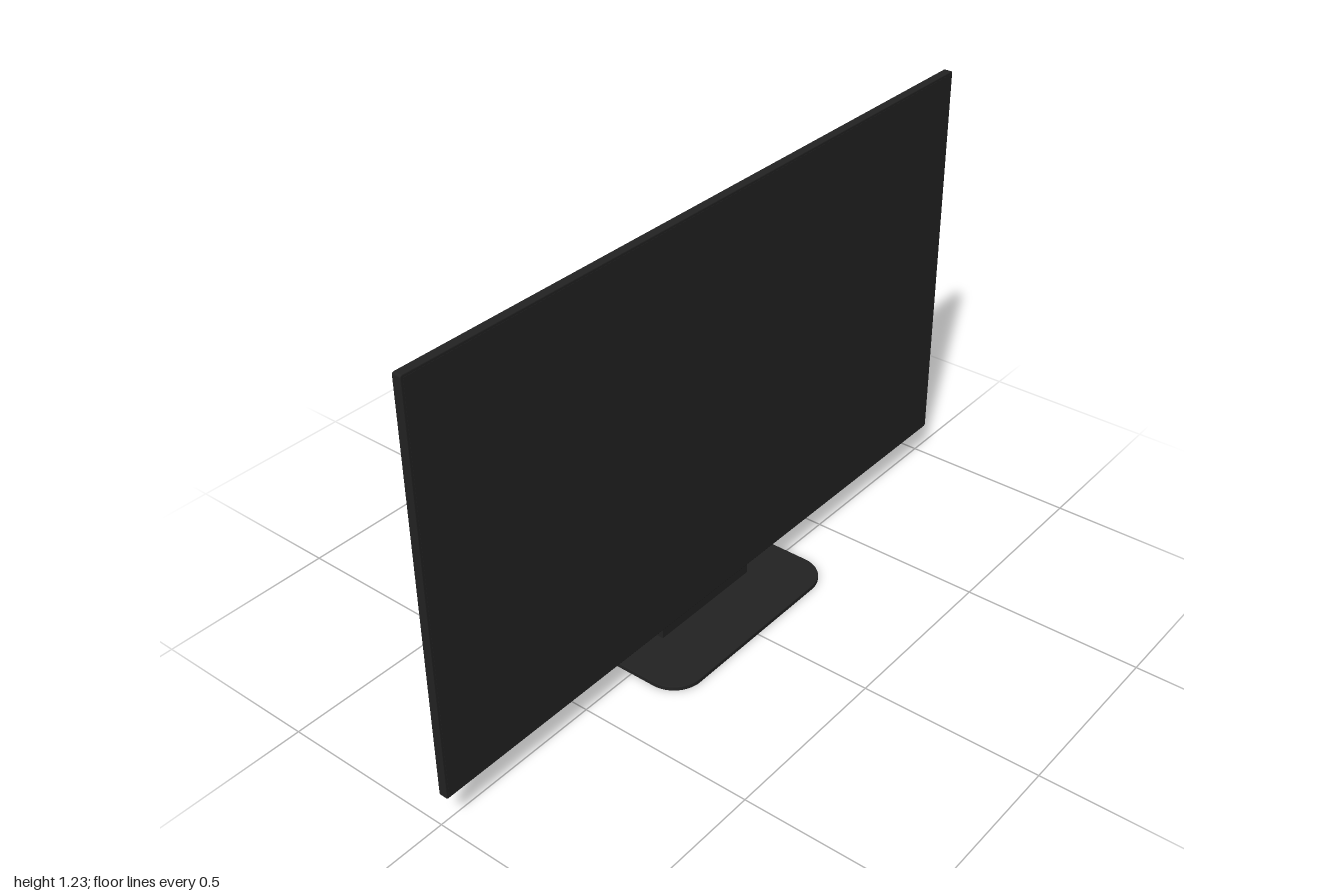
import * as THREE from 'three';

const black = new THREE.MeshStandardMaterial({ color: 0x222222 });
black.name = 'matte black';
const screenBlack = new THREE.MeshStandardMaterial({ color: 0x212122 });
screenBlack.name = 'screen black';

// Rounded rectangle centred on the origin
function roundedRect(w, h, r) {
  const x = w / 2, y = h / 2;
  const s = new THREE.Shape();
  s.moveTo(-x + r, -y);
  s.lineTo(x - r, -y);
  s.absarc(x - r, -y + r, r, -Math.PI / 2, 0);
  s.lineTo(x, y - r);
  s.absarc(x - r, y - r, r, 0, Math.PI / 2);
  s.lineTo(-x + r, y);
  s.absarc(-x + r, y - r, r, Math.PI / 2, Math.PI);
  s.lineTo(-x, -y + r);
  s.absarc(-x + r, -y + r, r, Math.PI, Math.PI * 1.5);
  return s;
}

// Rounded slab whose bevel stays inside the given size, from z = 0 to z = depth
function slab(w, h, depth, r, bevel) {
  const g = new THREE.ExtrudeGeometry(roundedRect(w - 2 * bevel, h - 2 * bevel, r - bevel), {
    depth: depth - 2 * bevel, bevelEnabled: true, bevelSize: bevel,
    bevelThickness: bevel, bevelSegments: 2, curveSegments: 10,
  });
  return g.translate(0, 0, bevel);
}

export function createModel() {
  const group = new THREE.Group();
  const add = (name, geometry, material, x, y, z) => {
    const mesh = new THREE.Mesh(geometry, material);
    mesh.name = name;
    mesh.position.set(x, y, z);
    group.add(mesh);
    return mesh;
  };

  // Thin display panel with a flush screen face
  add('panel', slab(2, 1.128, 0.024, 0.006, 0.002), black, 0, 0.661, 0.005);
  add('screen', new THREE.BoxGeometry(1.985, 1.113, 0.002), screenBlack, 0, 0.661, 0.0285);

  // Raised electronics housing on the back
  add('rearHousing', slab(1.68, 0.742, 0.034, 0.035, 0.007), black, 0, 0.534, -0.026);

  // Wedge-shaped stand neck, drawn in side profile and extruded across
  const profile = new THREE.Shape([
    [0.017, 0.008], [0.098, 0.008], [0.054, 0.408], [0.017, 0.408],
  ].map(([z, y]) => new THREE.Vector2(z, y)));
  const neck = new THREE.ExtrudeGeometry(profile, { depth: 0.36, bevelEnabled: false });
  neck.translate(0, 0, -0.18).rotateY(Math.PI / 2);
  add('standNeck', neck, black, 0, 0, 0);

  // Rounded foot plate
  const foot = slab(0.656, 0.318, 0.013, 0.085, 0.002).rotateX(-Math.PI / 2);
  add('footPlate', foot, black, 0, 0, 0);

  return group;
}
